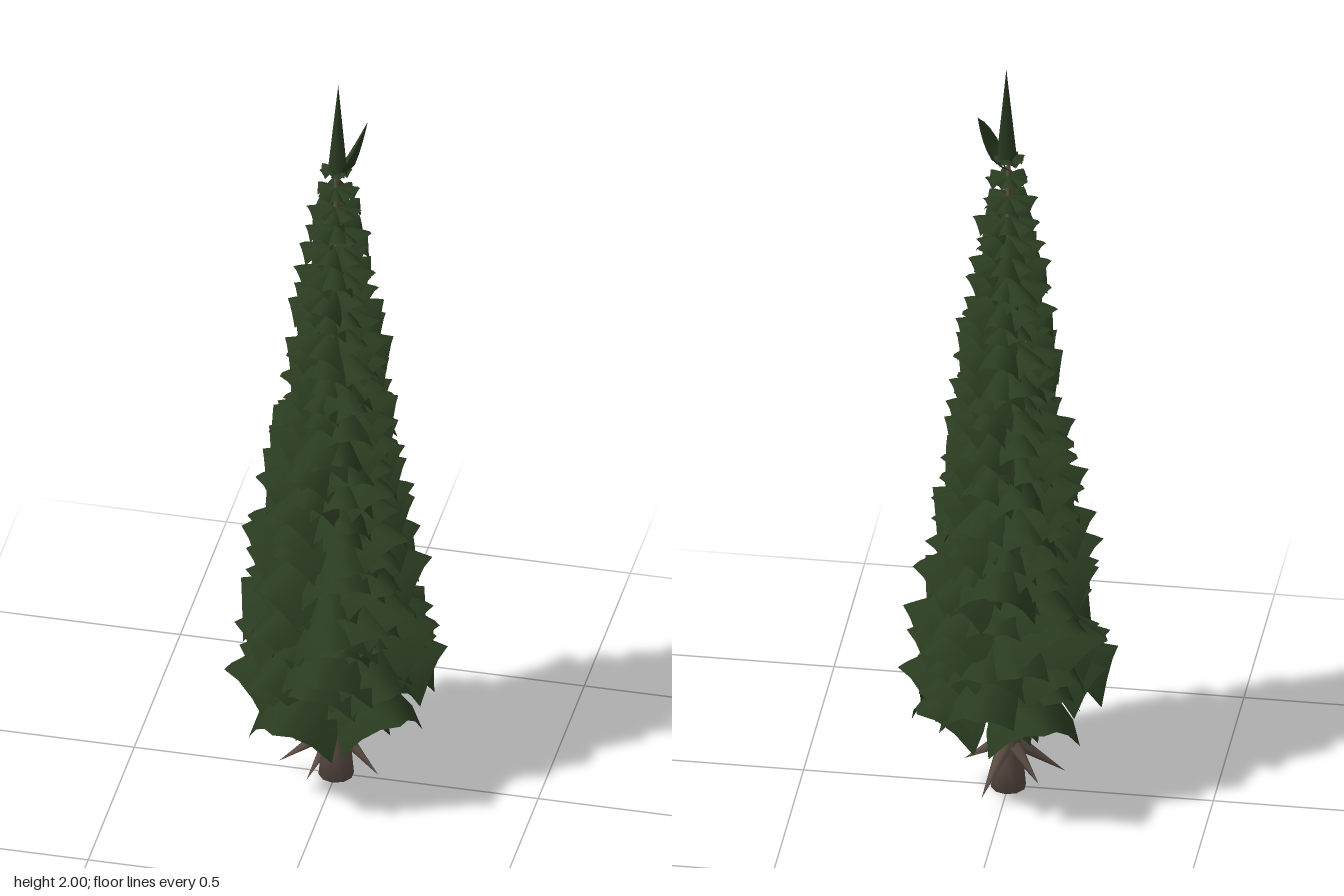
import * as THREE from 'three';
import { mergeGeometries } from 'three/addons/utils/BufferGeometryUtils.js';

// small seeded generator
function seeded(s) {
  return () => {
    s = (s * 16807) % 2147483647;
    return s / 2147483647;
  };
}

// One strongly arched spray with a pointed outer edge, growing along +x from the origin
function spray(length, halfWidth, drop, arch) {
  const g = new THREE.PlaneGeometry(1, 2, 4, 6);
  const p = g.attributes.position;
  for (let i = 0; i < p.count; i++) {
    const u = p.getX(i) + 0.5, v = p.getY(i);
    const x = length * u * (1 - 0.28 * Math.abs(v) * u);
    const w = halfWidth * (0.15 + 0.85 * Math.min(1, u / 0.8));
    p.setXYZ(i, x, -drop * Math.pow(u, 1.4) - arch * v * v * u, -v * w);
  }
  g.computeVertexNormals();
  return g;
}

// crown reach by height of attachment
const reach = [[0.38, 0.28], [0.5, 0.265], [0.6, 0.25], [0.75, 0.22], [0.9, 0.21],
  [1.05, 0.175], [1.3, 0.135], [1.5, 0.1], [1.62, 0.08], [1.7, 0.058], [1.78, 0.035]];
function reachAt(y) {
  for (let i = 1; i < reach.length; i++) {
    const [a, ra] = reach[i - 1], [b, rb] = reach[i];
    if (y <= b) return THREE.MathUtils.lerp(ra, rb, Math.max(0, (y - a) / (b - a)));
  }
  return reach[reach.length - 1][1];
}

export function createModel() {
  const tree = new THREE.Group();
  const needles = new THREE.MeshStandardMaterial({ color: 0x293b20, side: THREE.DoubleSide });
  needles.name = 'needle green';
  const bark = new THREE.MeshStandardMaterial({ color: 0x5b4d44 });
  bark.name = 'bark brown';
  const add = (name, geometry, material) => {
    const m = new THREE.Mesh(geometry, material);
    m.name = name;
    tree.add(m);
    return m;
  };
  const rnd = seeded(4711);
  const vary = (amount) => 1 + (rnd() * 2 - 1) * amount;

  // Trunk, tapering up through the crown
  const profile = [[0, 0], [0.043, 0], [0.036, 0.08], [0.029, 0.2], [0.024, 0.5], [0.016, 1], [0.008, 1.5], [0.004, 1.82], [0, 1.83]];
  add('trunk', new THREE.LatheGeometry(profile.map(([x, y]) => new THREE.Vector2(x, y)), 10), bark);

  // Bare drooping branches near the ground: tip x, y, z
  const tips = [[-0.135, 0.035, 0.03], [0.115, 0.04, 0.045], [-0.05, 0.04, 0.105],
    [0.045, 0.04, -0.14], [-0.085, 0.05, -0.07]];
  for (const [x, y, z] of tips) {
    const tip = new THREE.Vector3(x, y, z);
    const root = new THREE.Vector3(x * 0.08, 0.128, z * 0.08);
    const dir = tip.clone().sub(root);
    const branch = add('bareBranch', new THREE.ConeGeometry(0.021, dir.length(), 6), bark);
    branch.position.copy(root).add(tip).multiplyScalar(0.5);
    branch.quaternion.setFromUnitVectors(new THREE.Vector3(0, 1, 0), dir.normalize());
  }

  // Lowest skirt: tip x, z and attachment height
  const skirt = [[-0.09, 0.3, 0.38], [-0.13, -0.285, 0.4], [0.035, -0.3, 0.43], [0.19, -0.22, 0.39],
    [0.258, -0.08, 0.43], [0.205, 0.205, 0.38], [-0.25, 0.12, 0.42], [-0.255, -0.085, 0.55], [0.07, 0.205, 0.36]];
  add('lowestTier', mergeGeometries(skirt.map(([x, z, y]) => {
    const r = Math.hypot(x, z);
    return spray(r, 0.115, r * 0.28, 0.095).rotateY(Math.atan2(-z, x)).translate(0, y, 0);
  })), needles);

  // Tiers of overlapping sprays up to the top
  const tiers = 25, perTier = 8;
  for (let t = 0; t < tiers; t++) {
    const k = t / (tiers - 1);
    const y = 0.42 + 1.34 * k;
    const parts = [];
    for (let i = 0; i < perTier; i++) {
      const length = reachAt(y) * (0.92 + (rnd() - 0.5) * 0.26);
      const drop = length * THREE.MathUtils.lerp(0.3, 0.08, k) * vary(0.3);
      const lift = (rnd() - 0.5) * 0.05 * (1 - k);
      const angle = (i + (rnd() - 0.5) * 0.5) / perTier * Math.PI * 2 + t * 2.4;
      // a slight twist tips each spray to one side
      parts.push(spray(length, length * 0.42 * vary(0.12), drop, length * 0.36)
        .rotateX((rnd() - 0.5) * 0.25).rotateY(angle).translate(0, y + lift, 0));
    }
    add('foliageTier', mergeGeometries(parts), needles);
  }

  // Leading shoot
  const shoot = add('topShoot', new THREE.ConeGeometry(0.026, 0.25, 5), needles);
  shoot.position.set(0.005, 1.875, 0);

  // Upright cupped spray beside the shoot
  const leaf = new THREE.PlaneGeometry(2, 1, 4, 5);
  const p = leaf.attributes.position;
  for (let i = 0; i < p.count; i++) {
    const v = p.getX(i), u = p.getY(i) + 0.5;
    const w = 0.045 * Math.pow(Math.max(0, Math.sin(Math.PI * (0.12 + 0.88 * u))), 0.8);
    p.setXYZ(i, 0.02 + 0.05 * Math.sqrt(u) - 0.032 * v * v * (1 - u), 1.735 + 0.145 * u, -0.01 - 0.025 * u - v * w);
  }
  leaf.computeVertexNormals();
  add('sideSpray', leaf, needles);
  return tree;
}
